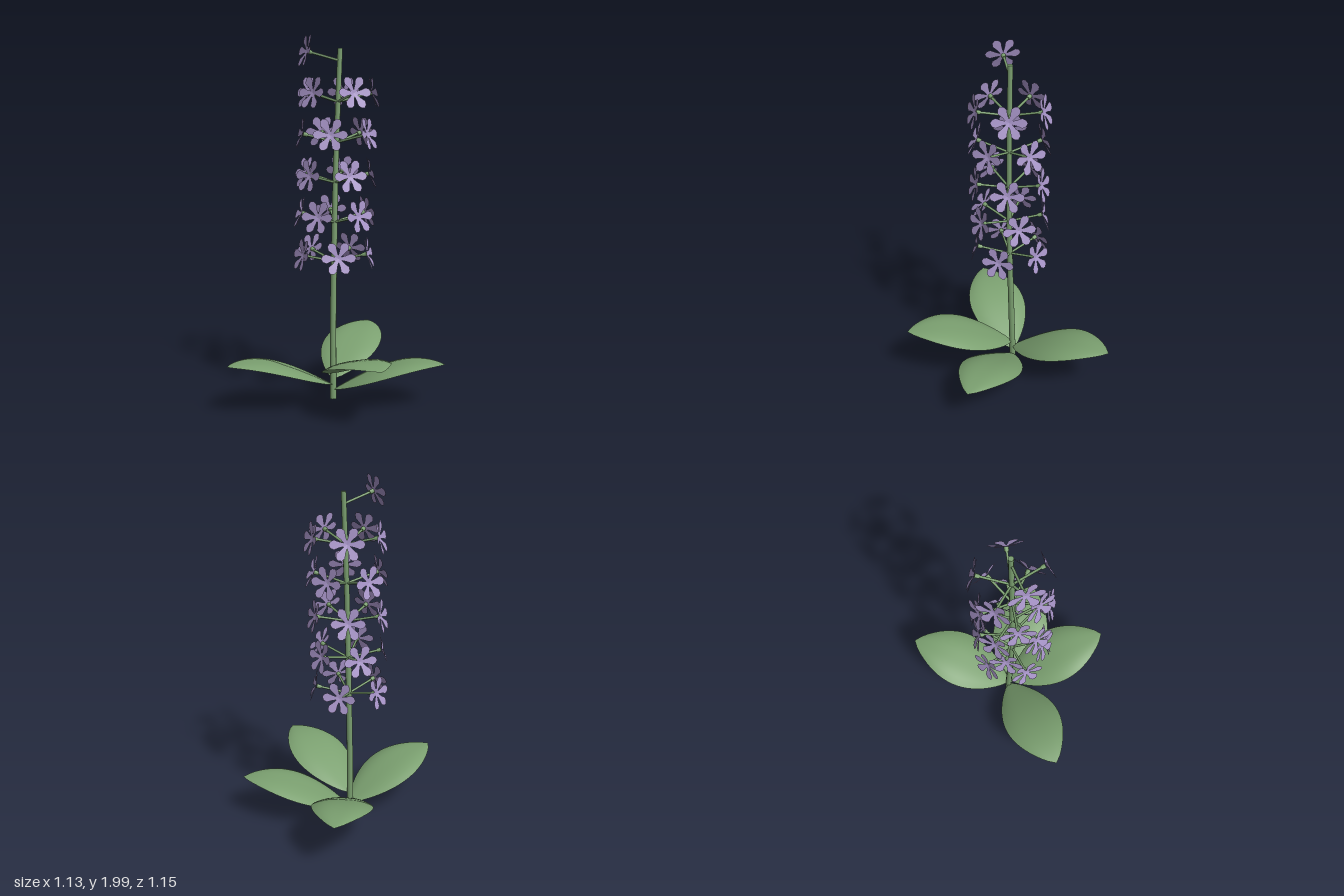
import * as THREE from 'three';
import { mergeGeometries } from 'three/addons/utils/BufferGeometryUtils.js';

const material = (name, color, side = THREE.FrontSide) => {
  const m = new THREE.MeshStandardMaterial({ color, side });
  m.name = name;
  return m;
};

// Gently bowed path of the stem
const stemCurve = new THREE.CatmullRomCurve3([
  [-0.06, 0, 0.037], [-0.059, 0.4, 0.046], [-0.052, 0.8, 0.052],
  [-0.042, 1.3, 0.05], [-0.02, 1.93, 0.035],
].map((p) => new THREE.Vector3(...p)));

function stemAt(y) {
  let lo = 0, hi = 1;
  for (let i = 0; i < 24; i++) {
    const mid = (lo + hi) / 2;
    if (stemCurve.getPoint(mid).y < y) lo = mid; else hi = mid;
  }
  return stemCurve.getPoint(lo);
}

// Tapered stem: a cylinder whose rings follow the path
function stemGeometry() {
  const g = new THREE.CylinderGeometry(0.014, 0.019, 1.93, 10, 24);
  const p = g.attributes.position;
  for (let i = 0; i < p.count; i++) {
    const y = p.getY(i) + 0.965;
    const c = stemAt(y);
    p.setXYZ(i, p.getX(i) + c.x, y, p.getZ(i) + c.z);
  }
  return g;
}

// Arching oval leaf growing along +z, with edges that curl down
function leafGeometry() {
  const g = new THREE.PlaneGeometry(2, 1, 14, 20);
  const p = g.attributes.position;
  for (let i = 0; i < p.count; i++) {
    const s = p.getX(i), t = 0.5 - p.getY(i);
    const w = 0.171 * Math.pow(Math.max(0, Math.sin(Math.PI * t)), 0.78);
    const rise = 0.2 * Math.sin(t * Math.PI * 0.61);
    const curl = 0.034 * Math.pow(Math.abs(s), 3) * Math.sin(Math.PI * t);
    p.setXYZ(i, s * w, rise - curl, t * 0.625);
  }
  g.computeVertexNormals();
  return g;
}

// Six broad, angular petals, cupped slightly forward
function petalsGeometry() {
  const shape = new THREE.Shape([
    [0.006, 0.001], [0.015, 0.04], [0.025, 0.066], [0.017, 0.085], [0, 0.094],
    [-0.017, 0.085], [-0.025, 0.066], [-0.015, 0.04], [-0.006, 0.001],
  ].map(([x, y]) => new THREE.Vector2(x, y)));
  const petal = new THREE.ShapeGeometry(shape);
  const p = petal.attributes.position;
  for (let i = 0; i < p.count; i++) p.setZ(i, p.getY(i) * 0.15 + Math.abs(p.getX(i)) * 0.1);
  petal.computeVertexNormals();
  const parts = [];
  for (let i = 0; i < 6; i++) parts.push(petal.clone().rotateZ(Math.PI / 6 + (i * Math.PI) / 3));
  return mergeGeometries(parts);
}

export function createModel() {
  const root = new THREE.Group();
  root.name = 'floweringPlant';
  const green = material('stemGreen', 0x7ba070);
  const leafGreen = material('leafGreen', 0x7ba070, THREE.DoubleSide);
  const lilac = material('petalLilac', 0xa895c9, THREE.DoubleSide);

  const add = (parent, name, geometry, mat) => {
    const m = new THREE.Mesh(geometry, mat);
    m.name = name;
    parent.add(m);
    return m;
  };

  add(root, 'stem', stemGeometry(), green);

  // Spiral of basal leaves: azimuth from +x towards +z, and height
  const leaf = leafGeometry();
  [[5.5, 0.052], [144.5, 0.082], [281.5, 0.112], [58.6, 0.145]].forEach(([deg, y]) => {
    const m = add(root, 'leaf', leaf, leafGreen);
    m.position.copy(stemAt(y));
    m.rotation.y = Math.PI / 2 - THREE.MathUtils.degToRad(deg);
  });

  // Flower pieces, built along +z
  const stalk = new THREE.CylinderGeometry(0.007, 0.007, 0.18, 6).rotateX(Math.PI / 2).translate(0, 0, 0.09);
  const cup = new THREE.CylinderGeometry(0.013, 0.011, 0.024, 8).rotateX(Math.PI / 2).translate(0, 0, 0.174);
  const petals = petalsGeometry().translate(0, 0, 0.188);

  function addFlower(y, deg) {
    const flower = new THREE.Group();
    flower.name = 'flower';
    flower.position.copy(stemAt(y));
    flower.rotation.set(-0.25, Math.PI / 2 - THREE.MathUtils.degToRad(deg), 0, 'YXZ');
    add(flower, 'flowerStalk', stalk, green);
    add(flower, 'flowerCup', cup, green);
    add(flower, 'petals', petals, lilac);
    root.add(flower);
  }

  // Five whorls of five flowers, then a single one at the top
  [2, 38, 57, 19, 55].forEach((start, row) => {
    for (let i = 0; i < 5; i++) addFlower(0.785 + row * 0.216, start + i * 72);
  });
  addFlower(1.865, 151);

  return root;
}
